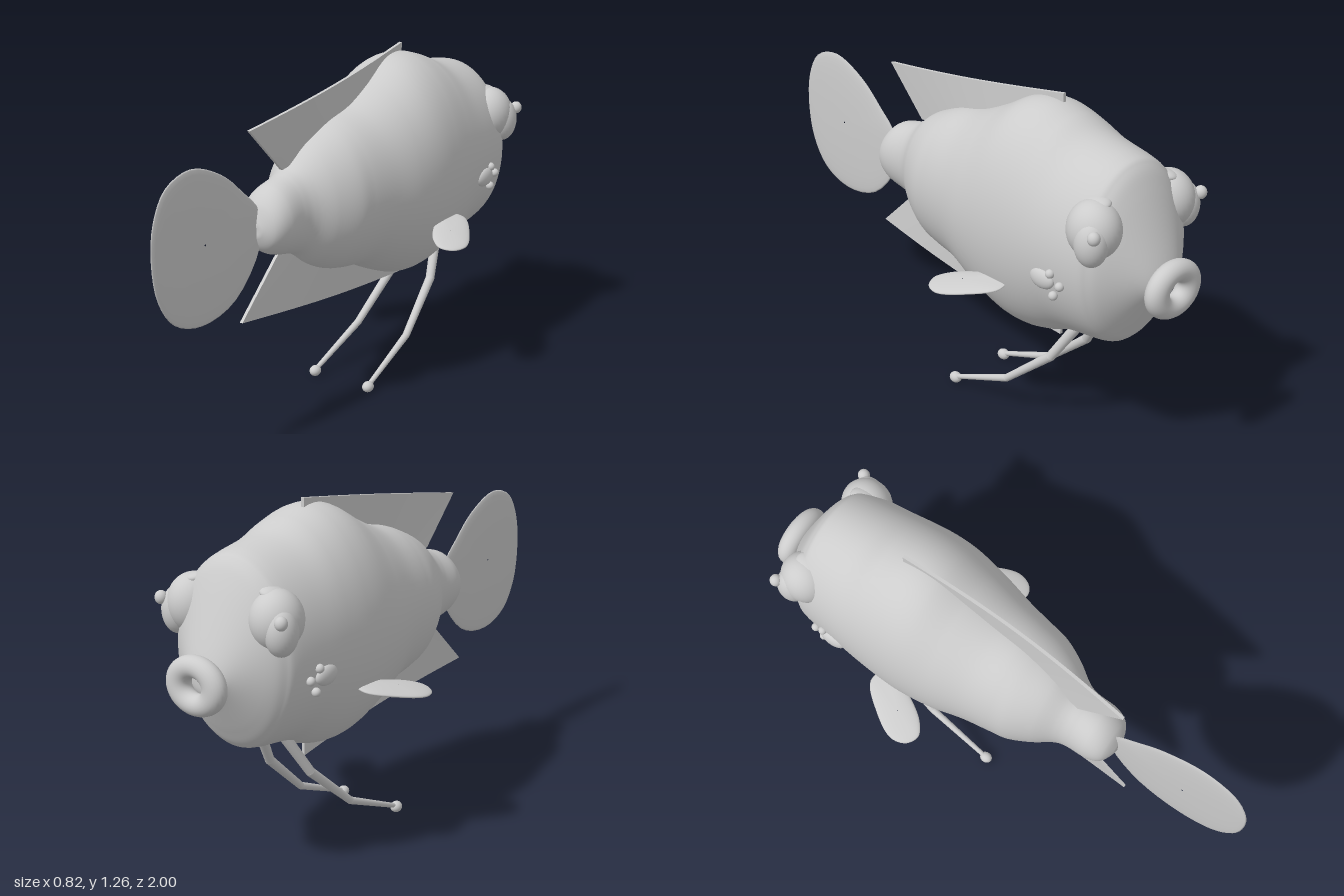
import * as THREE from 'three';
import { ParametricGeometry } from 'three/addons/geometries/ParametricGeometry.js';

const clay = new THREE.MeshStandardMaterial({ color: 0xcccccc });
clay.name = 'pale grey';

const V = (x, y, z) => new THREE.Vector3(x, y, z);

function mesh(name, geometry, parent) {
  const m = new THREE.Mesh(geometry, clay);
  m.name = name;
  parent.add(m);
  return m;
}

function ellipsoid(name, parent, centre, radii) {
  const m = mesh(name, new THREE.SphereGeometry(1, 32, 20), parent);
  m.position.set(...centre);
  m.scale.set(...radii);
  return m;
}

// Body: elliptical sections, each [z, top, bottom, half width], nose to tail
function bodyGeometry() {
  const s = [
    [-0.937, 0.765, 0.755, 0.004], [-0.932, 0.80, 0.70, 0.055], [-0.90, 0.885, 0.66, 0.11],
    [-0.83, 1.05, 0.54, 0.2], [-0.79, 1.118, 0.482, 0.232], [-0.745, 1.143, 0.461, 0.25],
    [-0.60, 1.17, 0.44, 0.266], [-0.50, 1.21, 0.40, 0.274], [-0.40, 1.235, 0.376, 0.279],
    [-0.30, 1.222, 0.383, 0.277], [-0.18, 1.155, 0.43, 0.262], [-0.06, 1.10, 0.485, 0.235],
    [0.05, 1.072, 0.505, 0.216], [0.12, 1.045, 0.525, 0.203], [0.20, 1.005, 0.567, 0.165],
    [0.27, 0.95, 0.62, 0.12], [0.32, 0.928, 0.638, 0.106], [0.40, 0.905, 0.658, 0.104],
    [0.45, 0.86, 0.69, 0.082], [0.474, 0.80, 0.735, 0.035], [0.476, 0.77, 0.762, 0.004],
  ];
  const line = (f) => new THREE.CatmullRomCurve3(s.map(f), false, 'catmullrom', 0.5);
  const spine = line(([z, t, b]) => V(z, (t + b) / 2, (t - b) / 2));
  const width = line(([z, , , w]) => V(z, w, 0));
  const p = V(), q = V();
  return new ParametricGeometry((u, v, out) => {
    spine.getPoint(v, p);
    width.getPoint(v, q);
    const a = u * Math.PI * 2;
    out.set(Math.cos(a) * Math.max(q.y, 0.002), p.y + Math.sin(a) * Math.max(p.z, 0.002), p.x);
  }, 64, 100);
}

// Lens-shaped fin: closed outline in (p, q), swollen at its middle; place() maps it to space
function lensGeometry(points, thickness, place, reverse = false) {
  const loop = new THREE.CatmullRomCurve3(points.map(([p, q]) => V(p, q, 0)), true);
  const c = points.reduce((a, [p, q]) => a.add(V(p, q, 0)), V()).divideScalar(points.length);
  const e = V();
  return new ParametricGeometry((u, v, out) => {
    loop.getPoint(reverse ? 1 - u : u, e);
    const a = (0.004 + 0.992 * v) * Math.PI;
    e.lerp(c, 1 - Math.sin(a));
    out.set(...place(e.x, e.y, -Math.cos(a) * thickness));
  }, 48, 16);
}

// Thin bowed fin between four corners, each [z, y]
function bladeGeometry(lowFront, lowRear, highFront, highRear) {
  const g = new THREE.BoxGeometry(0.012, 1, 1, 1, 4, 24);
  const pos = g.attributes.position;
  const mix = THREE.MathUtils.lerp;
  for (let i = 0; i < pos.count; i++) {
    const t = pos.getZ(i) + 0.5, h = pos.getY(i) + 0.5;
    const z = mix(mix(lowFront[0], lowRear[0], t), mix(highFront[0], highRear[0], t), h);
    const y = mix(mix(lowFront[1], lowRear[1], t), mix(highFront[1], highRear[1], t), h);
    pos.setXYZ(i, pos.getX(i) - 0.017 + 0.024 * Math.sin(Math.PI * t), y, z);
  }
  g.computeVertexNormals();
  return g;
}

function addEye(parent, s, side) {
  const eye = new THREE.Group();
  eye.name = side + 'Eye';
  parent.add(eye);
  ellipsoid('eyeball', eye, [s * 0.178, 0.943, -0.768], [0.09, 0.104, 0.096]);
  ellipsoid('iris', eye, [s * 0.222, 0.918, -0.798], [0.056, 0.084, 0.06]);
  ellipsoid('pupil', eye, [s * 0.258, 0.962, -0.842], [0.022, 0.024, 0.022]);
  const brow = ellipsoid('eyeCap', eye, [s * 0.16, 1.032, -0.765], [0.04, 0.02, 0.047]);
  brow.rotation.z = -s * 0.2;
}

function addCheek(parent, s, side) {
  const cheek = new THREE.Group();
  cheek.name = side + 'CheekSpots';
  parent.add(cheek);
  ellipsoid('largeSpot', cheek, [s * 0.258, 0.732, -0.615], [0.022, 0.036, 0.053]);
  for (const [x, y, z] of [[0.262, 0.765, -0.655], [0.257, 0.73, -0.695], [0.255, 0.684, -0.665]])
    ellipsoid('smallSpot', cheek, [s * x, y, z], [0.016, 0.016, 0.016]);
}

// Trailing feeler: tapered segments with rounded joints and a ball tip
function addFeeler(parent, s, side) {
  const feeler = new THREE.Group();
  feeler.name = side + 'Feeler';
  parent.add(feeler);
  const path = [[0.055, 0.47, -0.60], [0.092, 0.31, -0.50], [0.115, 0.138, -0.30], [0.125, 0.027, -0.035]];
  const radii = [0.02, 0.0175, 0.014, 0.009];
  const pts = path.map(([x, y, z]) => V(s * x, y, z));
  for (let i = 0; i < 3; i++) {
    const d = pts[i + 1].clone().sub(pts[i]);
    const seg = mesh('segment', new THREE.CylinderGeometry(radii[i + 1], radii[i], d.length(), 16), feeler);
    seg.position.copy(pts[i]).addScaledVector(d, 0.5);
    seg.quaternion.setFromUnitVectors(V(0, 1, 0), d.normalize());
    const r = radii[i + 1];
    if (i < 2) ellipsoid('joint', feeler, pts[i + 1].toArray(), [r, r, r]);
  }
  ellipsoid('tipBall', feeler, [s * 0.125, 0.022, -0.03], [0.021, 0.021, 0.025]);
}

export function createModel() {
  const fish = new THREE.Group();
  fish.name = 'fish';

  mesh('body', bodyGeometry(), fish);

  // Ring-shaped lips
  const lips = mesh('lips', new THREE.TorusGeometry(0.065, 0.038, 24, 48), fish);
  lips.position.set(0, 0.737, -0.962);
  lips.scale.set(1.19, 1, 1);

  // Tail fin, outline in (y, z)
  const tail = [[0.70, 0.45], [0.83, 0.45], [0.925, 0.54], [1.01, 0.645], [1.068, 0.80],
    [1.03, 0.925], [0.93, 0.985], [0.80, 1.0], [0.66, 0.975], [0.555, 0.90], [0.507, 0.76], [0.545, 0.585]];
  mesh('tailFin', lensGeometry(tail.reverse(), 0.014, (y, z, n) => [n, y, z], true), fish);

  mesh('dorsalFin', bladeGeometry([-0.43, 1.10], [0.305, 0.94], [-0.43, 1.262], [0.48, 1.12]), fish);
  mesh('analFin', bladeGeometry([-0.445, 0.337], [0.54, 0.44], [-0.445, 0.47], [0.33, 0.64]), fish);

  // Paired parts
  const pectoral = [[-0.40, 0.20], [-0.28, 0.245], [-0.20, 0.295], [-0.168, 0.345],
    [-0.19, 0.39], [-0.25, 0.408], [-0.35, 0.36], [-0.435, 0.28]];
  for (const [s, side] of [[1, 'left'], [-1, 'right']]) {
    const place = (z, x, n) => [s * x, 0.618 - 0.2 * (x - 0.27) - 0.08 * (z + 0.35) + n, z];
    mesh(side + 'PectoralFin', lensGeometry(pectoral, 0.014, place, s < 0), fish);
    addEye(fish, s, side);
    addCheek(fish, s, side);
    addFeeler(fish, s, side);
  }
  return fish;
}
